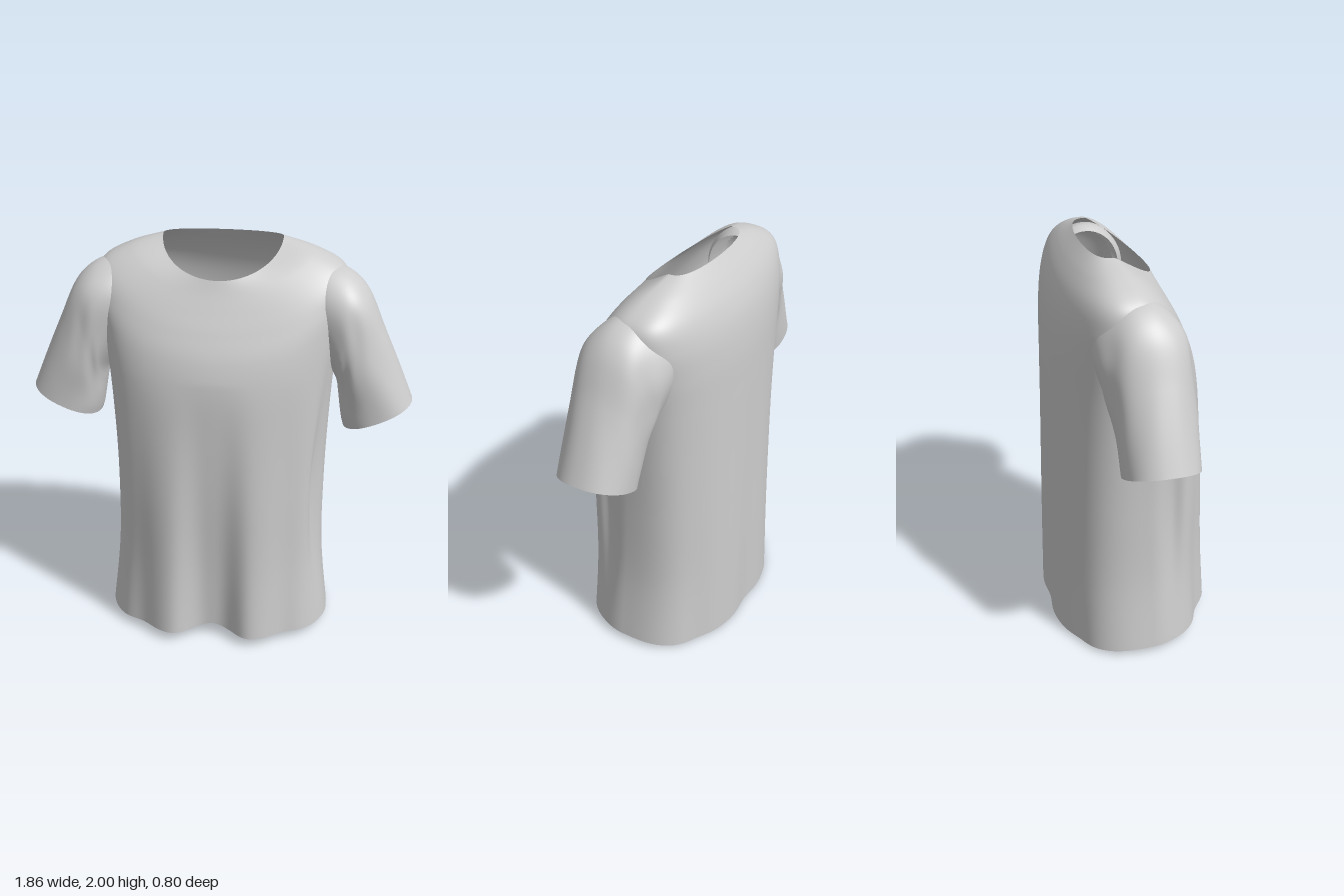
import * as THREE from 'three';

// Smoothly interpolate between rows of cross-section numbers, t in 0..1
function sampleRows(rows, t) {
  const f = t * (rows.length - 1);
  const i = Math.min(Math.floor(f), rows.length - 2);
  const u = f - i;
  const row = (k) => rows[Math.max(0, Math.min(rows.length - 1, k))];
  return rows[i].map((b, k) => {
    const a = row(i - 1)[k], c = row(i + 1)[k], d = row(i + 2)[k];
    return b + 0.5 * u * (c - a + u * (2 * a - 5 * b + 4 * c - d + u * (3 * (b - c) + d - a)));
  });
}

// Open tube of cloth: rings of points from point(angle, t); skip() leaves holes
function clothTube(around, along, point, flip = false, skip = () => false) {
  const pos = [], index = [];
  for (let j = 0; j <= along; j++) {
    for (let i = 0; i < around; i++) pos.push(...point((i / around) * Math.PI * 2, j / along));
  }
  for (let j = 0; j < along; j++) {
    for (let i = 0; i < around; i++) {
      const a = j * around + i, b = j * around + ((i + 1) % around);
      const c = a + around, d = b + around;
      if (skip(pos[3 * a], pos[3 * a + 1], pos[3 * a + 2])) continue;
      if (flip) index.push(a, b, c, b, d, c);
      else index.push(a, c, b, b, c, d);
    }
  }
  const geo = new THREE.BufferGeometry();
  geo.setAttribute('position', new THREE.Float32BufferAttribute(pos, 3));
  geo.setIndex(index);
  geo.computeVertexNormals();
  return geo;
}

const bump = (x, centre, width, p = 2) => Math.exp(-(Math.abs((x - centre) / width) ** p));
const power = (v, p) => Math.sign(v) * Math.abs(v) ** p;

// Body rings, hem to neckline: half width, side y, side z, front y, front z,
// back y, back z, roundness of the shoulder ridge, front fullness (smaller is boxier)
const BODY = [
  [0.57, 0.03, 0.03, 0.05, 0.43, 0.0, -0.41, 1, 1],
  [0.53, 0.4, 0.02, 0.4, 0.405, 0.4, -0.405, 1, 0.9],
  [0.525, 0.8, 0, 0.8, 0.385, 0.8, -0.395, 1, 0.8],
  [0.535, 1.15, -0.02, 1.12, 0.36, 1.15, -0.385, 1.2, 0.73],
  [0.55, 1.4, -0.04, 1.34, 0.336, 1.4, -0.378, 1.5, 0.7],
  [0.575, 1.6, -0.06, 1.49, 0.3, 1.6, -0.37, 1.6, 0.7],
  [0.6, 1.76, -0.07, 1.61, 0.247, 1.74, -0.35, 1.6, 0.72],
  [0.575, 1.875, -0.08, 1.7, 0.2, 1.84, -0.315, 1.6, 0.76],
  [0.44, 1.95, -0.09, 1.78, 0.158, 1.92, -0.265, 1.5, 0.85],
  [0.285, 1.995, -0.1, 1.84, 0.13, 1.995, -0.2, 1.1, 1],
];

function bodyPoint(a, t) {
  const [w, ys, zs, yf, zf, yb, zb, round, full] = sampleRows(BODY, t);
  const s = Math.sin(a), front = s > 0, m = Math.abs(s);
  let x = w * Math.cos(a);
  let y = ys + ((front ? yf : yb) - ys) * m ** round;
  let z = zs + ((front ? zf : zb) - zs) * m ** (front ? full : 0.65);
  // Hanging folds that fade out towards the chest
  const fade = Math.max(0, 1 - y / 1.4);
  const ax = Math.abs(x);
  if (front) {
    z -= m * fade * (0.12 * bump(x, 0, 0.14, 3) + 0.04 * bump(ax, 0.37, 0.08));
    y += 0.022 * bump(x, 0, 0.06) * bump(y, 0, 0.15);
    // Long groove below each arm, where the front panel turns back
    x *= 1 - 0.08 * bump(m, 0.27, 0.14) * bump(y, 0.8, 0.45);
  } else {
    z += m * fade * (0.02 * bump(x, 0, 0.1) + 0.02 * bump(ax, 0.4, 0.08));
  }
  return [x, y, z];
}

// Sleeve rings, armhole to cuff: top x, top y, bottom x, bottom y, centre z, half depth
const SLEEVE = [
  [0.44, 1.875, 0.47, 1.48, -0.065, 0.17],
  [0.5, 1.895, 0.51, 1.42, -0.06, 0.195],
  [0.61, 1.862, 0.56, 1.34, -0.04, 0.2],
  [0.7, 1.775, 0.575, 1.27, -0.03, 0.188],
  [0.78, 1.6, 0.585, 1.2, -0.02, 0.18],
  [0.86, 1.42, 0.595, 1.14, -0.018, 0.175],
  [0.932, 1.25, 0.605, 1.105, -0.016, 0.172],
];

function sleevePoint(a, t, side) {
  const [tx, ty, bx, by, zc, h] = sampleRows(SLEEVE, t);
  // Soft creases gathered under the arm
  const crease = 1 + 0.02 * Math.sin(5 * a + 9 * t) * Math.sin(Math.PI * t)
    + 0.02 * Math.sin(9 * a - 14 * t) * bump(t, 0.45, 0.2) * (1 - Math.cos(a)) / 2;
  // Rings flatten towards the cuff
  const p = 1 - 0.12 * t;
  const c = 0.5 * power(Math.cos(a), p) * (1 + (crease - 1) * Math.abs(Math.sin(a)));
  return [
    side * ((tx + bx) / 2 + (tx - bx) * c),
    (ty + by) / 2 + (ty - by) * c,
    zc + h * power(Math.sin(a), p) * crease,
  ];
}

// Opening in the body where the sleeve joins
const armhole = (x, y, z) =>
  Math.abs(x) > 0.51 && ((y - 1.63) / 0.2) ** 2 + ((z + 0.055) / 0.16) ** 2 < 1;

export function createModel() {
  const group = new THREE.Group();
  group.name = 'tShirt';
  const cloth = new THREE.MeshStandardMaterial({ color: 0xcccccc, side: THREE.DoubleSide });
  cloth.name = 'light grey cloth';

  const body = new THREE.Mesh(clothTube(192, 100, bodyPoint, false, armhole), cloth);
  body.name = 'body';
  group.add(body);

  for (const side of [1, -1]) {
    const geo = clothTube(72, 50, (a, t) => sleevePoint(a, t, side), side > 0);
    const sleeve = new THREE.Mesh(geo, cloth);
    sleeve.name = side > 0 ? 'leftSleeve' : 'rightSleeve';
    group.add(sleeve);
  }
  return group;
}
